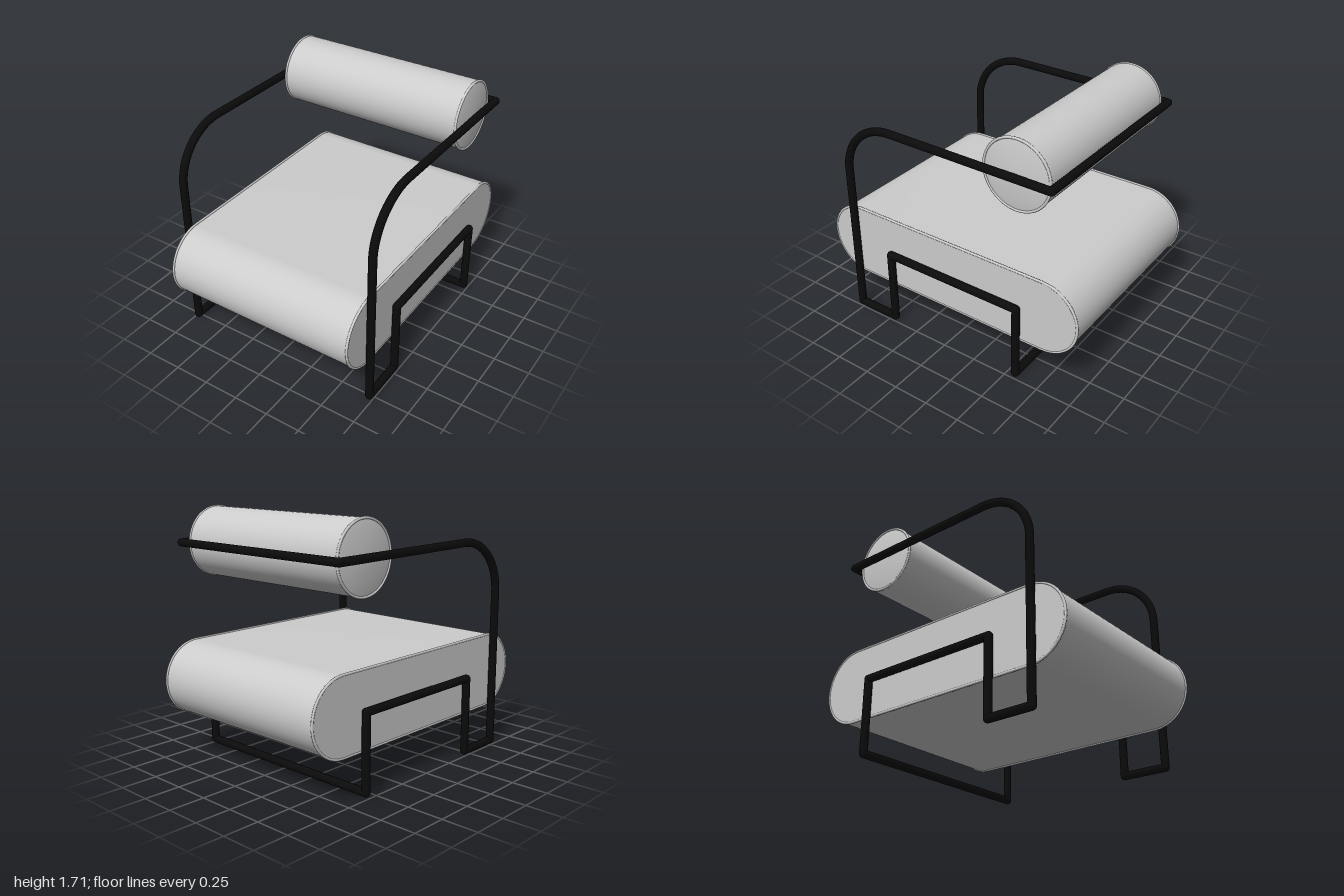
import * as THREE from 'three';
import { toCreasedNormals } from 'three/addons/utils/BufferGeometryUtils.js';

const fabric = new THREE.MeshStandardMaterial({ color: 0xcccccc });
fabric.name = 'light grey fabric';
const steel = new THREE.MeshStandardMaterial({ color: 0x0b0b0b });
steel.name = 'black steel';

const ROD = 0.0275; // frame tube radius
const SIDE = 0.725; // frame side offset
const V = (x, y, z) => new THREE.Vector3(x, y, z);

function add(parent, name, geometry, material) {
  const mesh = new THREE.Mesh(geometry, material);
  mesh.name = name;
  parent.add(mesh);
  return mesh;
}

// Straight rods through a list of points, with a ball at every bend and end
function addRods(parent, name, points) {
  points.forEach((p, i) => {
    add(parent, name + 'Joint', new THREE.SphereGeometry(ROD, 16, 12), steel).position.copy(p);
    if (i === 0) return;
    const dir = p.clone().sub(points[i - 1]);
    const rod = add(parent, name, new THREE.CylinderGeometry(ROD, ROD, dir.length(), 16), steel);
    rod.position.copy(p).add(points[i - 1]).multiplyScalar(0.5);
    rod.quaternion.setFromUnitVectors(V(0, 1, 0), dir.normalize());
  });
}

function createFrame() {
  const frame = new THREE.Group();
  frame.name = 'frame';
  for (const x of [-SIDE, SIDE]) {
    // Front upright, foot, seat rail and rear leg
    addRods(frame, 'sideFrame', [
      V(x, 1.12, 0.775), V(x, 0.03, 0.775), V(x, 0.03, 0.46),
      V(x, 0.55, 0.46), V(x, 0.55, -0.57), V(x, 0.035, -0.57),
    ]);
    // Rounded front shoulder running into the arm rail
    const k = 0.5523;
    const bend = new THREE.CubicBezierCurve3(
      V(x, 1.12, 0.775), V(x, 1.12 + 0.365 * k, 0.775),
      V(x, 1.485, 0.4 + 0.375 * k), V(x, 1.485, 0.4));
    add(frame, 'shoulderBend', new THREE.TubeGeometry(bend, 24, ROD, 16), steel);
    addRods(frame, 'armRail', [V(x, 1.485, 0.4), V(x, 1.475, -0.805)]);
  }
  addRods(frame, 'backBar', [V(-SIDE, 1.475, -0.805), V(SIDE, 1.475, -0.805)]);
  addRods(frame, 'floorBar', [V(-SIDE, 0.035, -0.57), V(SIDE, 0.035, -0.57)]);
  return frame;
}

// Long seat cushion with half-round front and back
function createSeat() {
  const seat = new THREE.Group();
  seat.name = 'seat';
  const r = 0.257, half = 0.995 - r, width = 1.39;
  const shape = new THREE.Shape();
  shape.absarc(half, 0, r, -Math.PI / 2, Math.PI / 2);
  shape.absarc(-half, 0, r, Math.PI / 2, Math.PI * 1.5);
  shape.closePath();
  const body = new THREE.ExtrudeGeometry(shape, { depth: width, bevelEnabled: false, curveSegments: 32 });
  body.translate(0, 0, -width / 2).rotateY(Math.PI / 2);
  add(seat, 'seatCushion', toCreasedNormals(body, 0.6), fabric);

  // Piping around both ends
  for (const x of [-0.69, 0.69]) {
    const outline = shape.getPoints(20).map((p) => V(x, p.y, -p.x));
    const loop = new THREE.CurvePath();
    outline.forEach((p, i) => {
      const next = outline[(i + 1) % outline.length];
      if (p.distanceTo(next) > 1e-4) loop.add(new THREE.LineCurve3(p, next));
    });
    add(seat, 'seatPiping', new THREE.TubeGeometry(loop, 120, 0.009, 8, true), fabric);
  }
  seat.position.y = 0.551;
  return seat;
}

// Round bolster with softly domed ends
function createBolster() {
  const bolster = new THREE.Group();
  bolster.name = 'backrest';
  const r = 0.236, end = 0.675;
  const dome = [[0, 0.022], [0.08, 0.02], [0.16, 0.012], [0.21, 0.005], [r, 0]];
  const profile = [
    ...dome.map(([q, h]) => new THREE.Vector2(q, -end - h)),
    ...dome.slice().reverse().map(([q, h]) => new THREE.Vector2(q, end + h)),
  ];
  const body = toCreasedNormals(new THREE.LatheGeometry(profile, 64), 0.6);
  add(bolster, 'backrestBolster', body, fabric).rotation.z = Math.PI / 2;
  for (const x of [-end, end]) {
    const ring = add(bolster, 'backrestPiping', new THREE.TorusGeometry(r - 0.002, 0.009, 8, 64), fabric);
    ring.rotation.y = Math.PI / 2;
    ring.position.x = x;
  }
  bolster.position.set(0, 1.471, -0.537);
  return bolster;
}

export function createModel() {
  const model = new THREE.Group();
  model.name = 'armchair';
  model.add(createFrame(), createSeat(), createBolster());
  return model;
}
